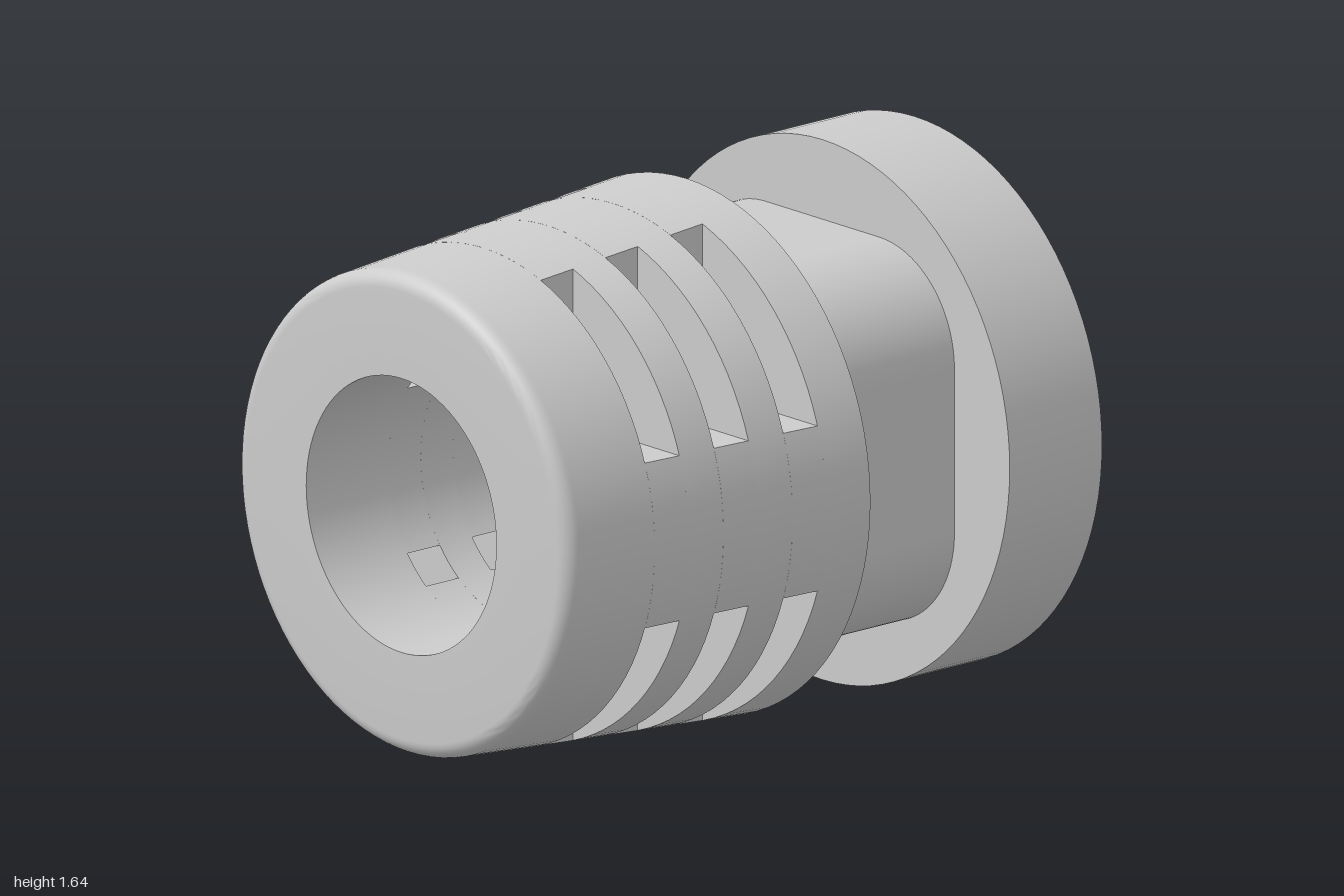
import * as THREE from 'three';
import { toCreasedNormals } from 'three/addons/utils/BufferGeometryUtils.js';

const BORE = 0.415, ARM = 0.25, AXIS_Y = 0.818;
const material = new THREE.MeshStandardMaterial({ color: 0xcccccc });

// outer radius of the tapered sleeve at depth z
const sleeveRadius = (z) => 0.804 - 0.0715 * (z + 0.11);

function crease(geometry) {
  return toCreasedNormals(geometry.index ? geometry.toNonIndexed() : geometry, 0.5);
}

function addPart(parent, name, geometry) {
  const mesh = new THREE.Mesh(crease(geometry), material);
  mesh.name = name;
  parent.add(mesh);
  return mesh;
}

// turned part around the z axis from [radius, z] pairs
function turned(profile) {
  const points = profile.map(([r, z]) => new THREE.Vector2(r, z));
  return new THREE.LatheGeometry(points, 96).rotateX(Math.PI / 2);
}

function ring(a, b) {
  return turned([[BORE, a], [sleeveRadius(a), a], [sleeveRadius(b), b], [BORE, b], [BORE, a]]);
}

// front ring with a rounded outer rim
function frontRing(a, b) {
  const fillet = 0.05, rim = sleeveRadius(b) + 0.002;
  const profile = [[BORE, a], [sleeveRadius(a), a]];
  for (let i = 0; i <= 8; i++) {
    const t = (i / 8) * Math.PI / 2;
    profile.push([rim - fillet + fillet * Math.cos(t), b - fillet + fillet * Math.sin(t)]);
  }
  profile.push([BORE, b], [BORE, a]);
  return turned(profile);
}

// straight-sided rib joining two rings; its outer face follows the taper
function rib(a, b) {
  const outer = Math.asin(ARM / sleeveRadius(a)), inner = Math.asin(ARM / BORE);
  const up = Math.PI / 2;
  const shape = new THREE.Shape();
  shape.absarc(0, 0, sleeveRadius(a), up - outer, up + outer, false);
  shape.absarc(0, 0, BORE, up + inner, up - inner, true);
  shape.closePath();
  const g = new THREE.ExtrudeGeometry(shape, { depth: b - a, bevelEnabled: false, curveSegments: 14 });
  g.translate(0, 0, a);
  const p = g.attributes.position;
  for (let i = 0; i < p.count; i++) {
    const x = p.getX(i);
    if (Math.hypot(x, p.getY(i)) > BORE + 0.1) {
      p.setY(i, Math.sqrt(sleeveRadius(p.getZ(i)) ** 2 - x * x));
    }
  }
  return g;
}

// rounded square neck
function neckGeometry(half, radius, a, b) {
  const c = half - radius;
  const shape = new THREE.Shape();
  [[c, c], [-c, c], [-c, -c], [c, -c]].forEach(([x, y], i) => {
    shape.absarc(x, y, radius, i * Math.PI / 2, (i + 1) * Math.PI / 2, false);
  });
  shape.closePath();
  return new THREE.ExtrudeGeometry(shape, { depth: b - a, bevelEnabled: false, curveSegments: 16 })
    .translate(0, 0, a);
}

export function createModel() {
  const model = new THREE.Group();
  model.name = 'slottedPlug';
  const body = new THREE.Group();
  body.name = 'body';
  body.position.y = AXIS_Y;
  model.add(body);

  // back flange and neck; the neck's front end closes the bore
  addPart(body, 'backFlange', turned([[0, -1], [AXIS_Y, -1], [AXIS_Y, -0.64], [0, -0.64]]));
  addPart(body, 'neck', neckGeometry(0.577, 0.33, -0.64, -0.11));

  // tapered sleeve: solid rings with ribs across the slot layers
  const sleeve = new THREE.Group();
  sleeve.name = 'slottedSleeve';
  body.add(sleeve);
  const slots = [[0.05, 0.175], [0.302, 0.428], [0.554, 0.68]];
  let start = -0.11;
  for (const [a, b] of slots) {
    addPart(sleeve, 'sleeveRing', ring(start, a));
    for (let k = 0; k < 4; k++) {
      addPart(sleeve, 'sleeveRib', rib(a, b)).rotation.z = k * Math.PI / 2;
    }
    start = b;
  }
  addPart(sleeve, 'sleeveFrontRing', frontRing(start, 1));

  return model;
}
